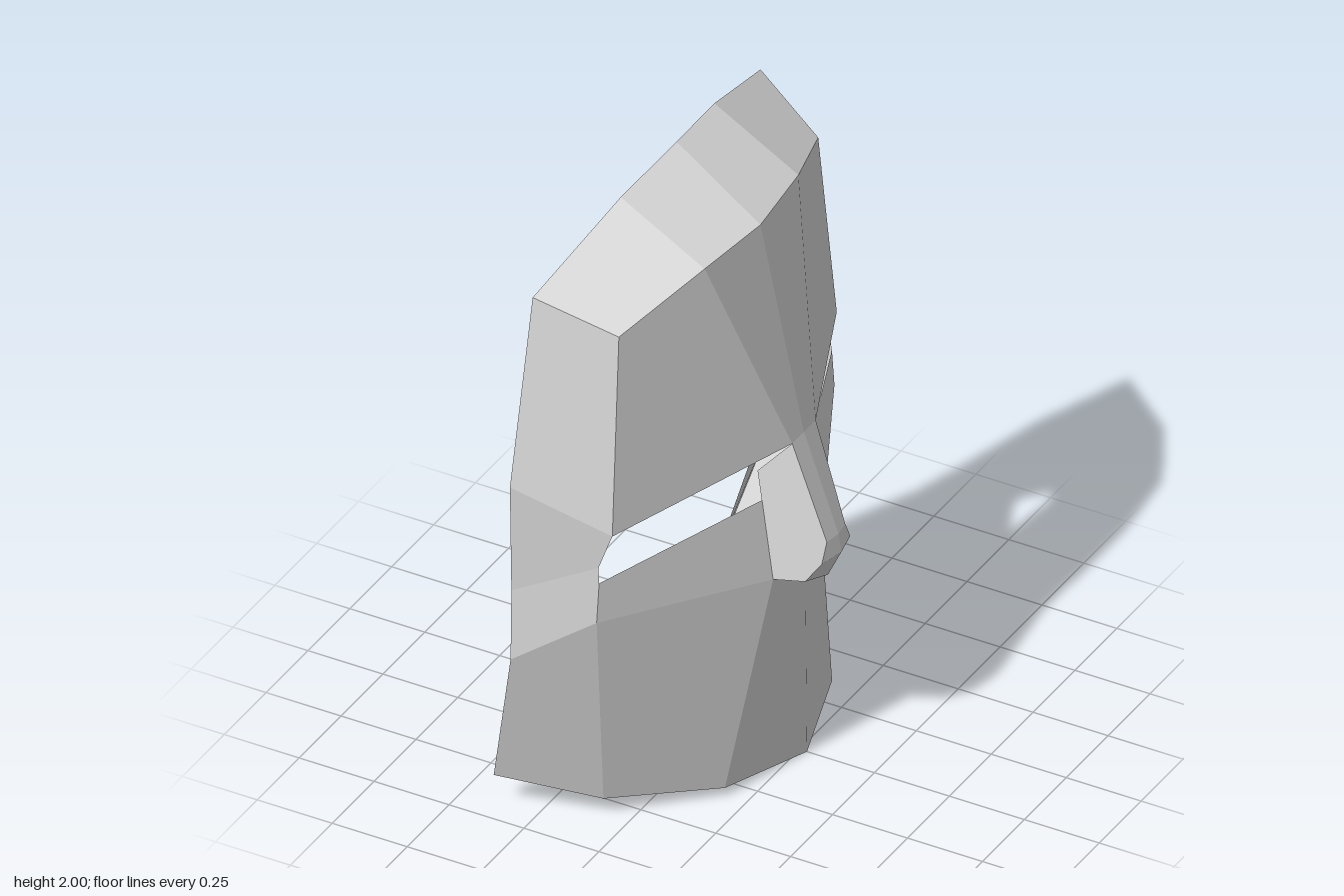
import * as THREE from 'three';

// Control points of the left half (z >= 0); the right half is mirrored.
const P = {
  // back rim, top to jaw
  r0: [-0.16, 2.0, 0], r1: [-0.19, 1.96, 0.28], r2: [-0.26, 1.82, 0.68], r3: [-0.255, 1.24, 0.825],
  rm: [-0.25, 0.88, 0.825], r4: [-0.25, 0.64, 0.83], r5: [-0.39, 0.1, 0.68],
  // top front edge
  t0: [0.12, 1.8, 0], t1: [0.09, 1.8, 0.28], t2: [-0.02, 1.71, 0.595],
  // eye slot and cheekbone
  e: [0.0, 1.06, 0.67], m: [-0.035, 0.95, 0.69], l: [-0.03, 0.9, 0.695], k: [-0.03, 0.77, 0.71],
  c: [0.198, 0.935, 0.13],
  // bottom edge
  b0: [0.275, 0, 0], b1: [0.18, 0.03, 0.32], b2: [-0.08, 0.06, 0.58],
  // nose
  n0: [0.265, 1.12, 0], n1: [0.265, 1.12, 0.07], s: [0.18, 1.03, 0.125], n: [0.243, 0.68, 0.145],
  p: [0.27, 0.61, 0], g0: [0.38, 0.8, 0], g: [0.372, 0.8, 0.055], w0: [0.39, 0.74, 0],
  w: [0.372, 0.74, 0.085], u0: [0.345, 0.645, 0], u: [0.33, 0.68, 0.11],
};

// The lip turned inward along the back and bottom edges
const lip = {
  r0: [-0.165, 1.925, 0], r1: [-0.195, 1.885, 0.26], r2: [-0.265, 1.765, 0.61], r3: [-0.26, 1.22, 0.755],
  rm: [-0.255, 0.88, 0.76], r4: [-0.255, 0.65, 0.765], r5: [-0.378, 0.09, 0.615],
  b2: [-0.13, 0.06, 0.51], b1: [0.08, 0.03, 0.28], b0: [0.18, 0, 0],
};

// Single-sheet panels, each a list of polygons
const panels = {
  crown: ['r0 r1 t1 t0', 'r1 r2 t2 t1'],
  forehead: ['t0 t1 n1 n0', 't1 t2 e n1'],
  temple: ['r2 r3 e t2', 'r3 rm m e', 'm rm r4 k l'],
  cheek: ['c l k n', 'n k b2 b1'],
  chin: ['p n b1 b0'],
  jaw: ['k r4 r5 b2'],
  nose: ['n0 n1 g g0', 'g0 g w w0', 's n u w g n1', 'w0 w u u0', 'u0 u n p'],
};

// Fans each polygon into triangles, mirrors it, and gives it one facet normal.
function mirrored(polygons) {
  const positions = [], normals = [];
  for (const poly of polygons) {
    for (const side of [1, -1]) {
      const q = poly.map(([x, y, z]) => new THREE.Vector3(x, y, z * side));
      if (side < 0) q.reverse();
      // keep the same fan centre on both halves
      if (side < 0) q.unshift(q.pop());
      const normal = new THREE.Vector3();
      for (let i = 1; i < q.length - 1; i++) {
        const a = q[i].clone().sub(q[0]);
        normal.add(a.cross(q[i + 1].clone().sub(q[0])));
      }
      normal.normalize();
      for (let i = 1; i < q.length - 1; i++) {
        for (const v of [q[0], q[i], q[i + 1]]) {
          positions.push(v.x, v.y, v.z);
          normals.push(normal.x, normal.y, normal.z);
        }
      }
    }
  }
  const geometry = new THREE.BufferGeometry();
  geometry.setAttribute('position', new THREE.Float32BufferAttribute(positions, 3));
  geometry.setAttribute('normal', new THREE.Float32BufferAttribute(normals, 3));
  return geometry;
}

export function createModel() {
  const group = new THREE.Group();
  group.name = 'faceMask';
  const grey = new THREE.MeshStandardMaterial({ color: 0xe2e2e2, side: THREE.DoubleSide });
  grey.name = 'pale grey';

  const add = (name, polygons) => {
    const mesh = new THREE.Mesh(mirrored(polygons), grey);
    mesh.name = name;
    group.add(mesh);
  };

  // Thin shell of the face
  for (const [name, list] of Object.entries(panels)) {
    add(name, list.map((keys) => keys.split(' ').map((key) => P[key])));
  }

  // Lip strip around the back and bottom
  const keys = Object.keys(lip);
  add('rimLip', keys.slice(1).map((key, i) => [P[keys[i]], lip[keys[i]], lip[key], P[key]]));

  return group;
}
